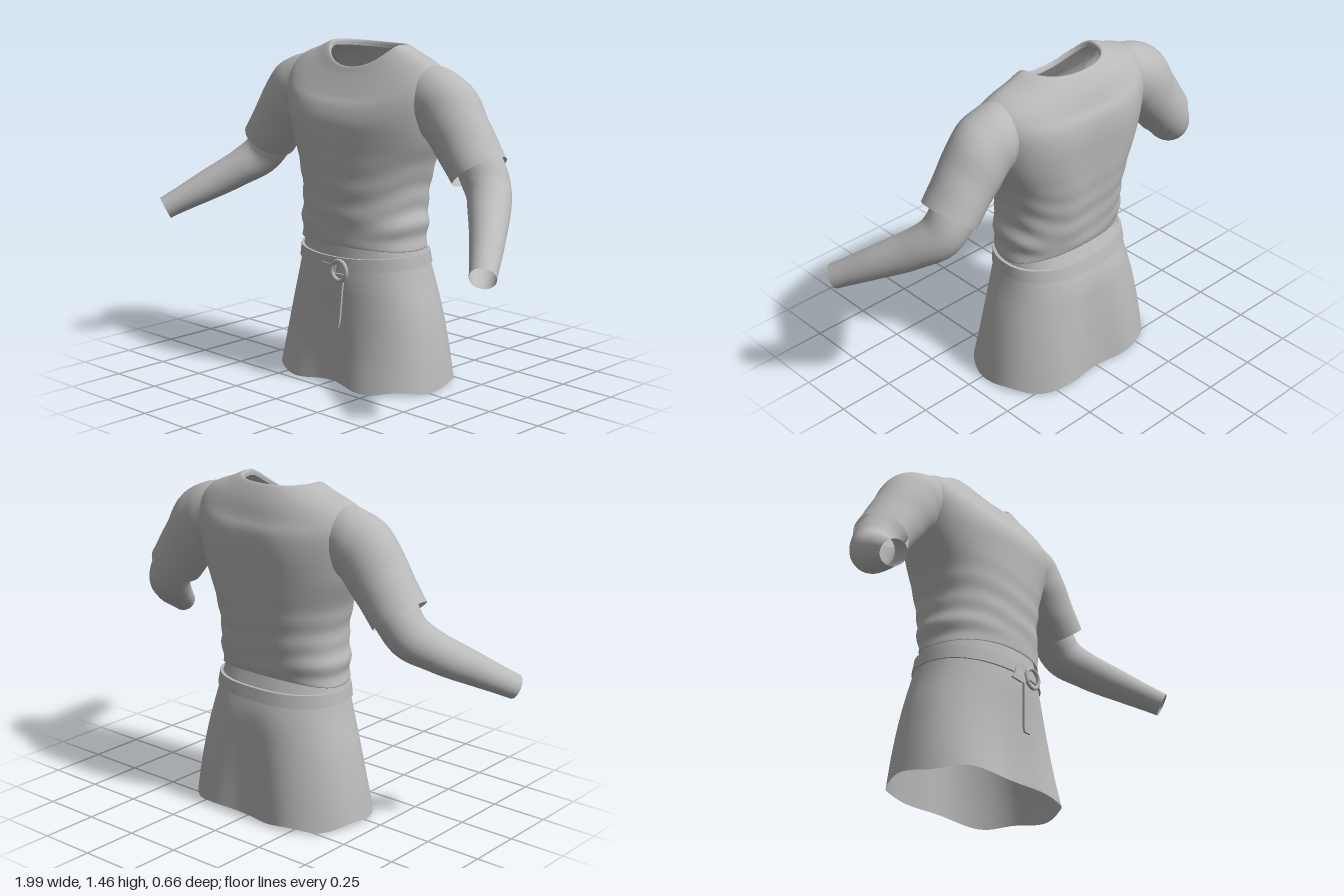
import * as THREE from 'three';

const cloth = new THREE.MeshStandardMaterial({ color: 0xbababa, side: THREE.DoubleSide });
cloth.name = 'grey cloth';

// Builds a smooth skin through rows x cols points; the columns close into a loop
function skin(rows, cols, point) {
  const pos = [], index = [];
  for (let i = 0; i <= rows; i++)
    for (let j = 0; j < cols; j++) pos.push(...point(i, (j / cols) * Math.PI * 2));
  for (let i = 0; i < rows; i++)
    for (let j = 0; j < cols; j++) {
      const k = (j + 1) % cols, a = i * cols + j, b = i * cols + k, c = a + cols, d = b + cols;
      index.push(a, b, c, b, d, c);
    }
  const g = new THREE.BufferGeometry();
  g.setAttribute('position', new THREE.Float32BufferAttribute(pos, 3));
  g.setIndex(index);
  g.computeVertexNormals();
  return g;
}

// Smooth interpolation of a table of rows at fractional row t
function sample(table, t) {
  const n = table.length - 1, i = Math.min(Math.floor(t), n - 1), u = t - i;
  return table[i].map((p1, k) => {
    const p0 = table[Math.max(i - 1, 0)][k], p2 = table[i + 1][k], p3 = table[Math.min(i + 2, n)][k];
    const m1 = (p2 - p0) / 2, m2 = (p3 - p1) / 2;
    return p1 + u * (m1 + u * (3 * (p2 - p1) - 2 * m1 - m2 + u * (2 * (p1 - p2) + m1 + m2)));
  });
}

const pw = (v, e) => Math.sign(v) * Math.abs(v) ** e;
const bump = (d, width) => Math.exp(-((d / width) ** 2));
const MID = -0.05;

// Body cross-section: row = [y, half width, front z, back z, front dip, back dip, front fold, back fold]
function bodyPoint([y, w, f, b, dipF, dipB, foldF, foldB], a) {
  const c = Math.cos(a), s = Math.sin(a);
  const x = w * pw(s, 0.9);
  let z = MID + (c > 0 ? f - MID : MID - b) * pw(c, 0.9);
  z += c > 0 ? -foldF * bump(s, 0.32) : foldB * bump(s, 0.3);
  return [x, y + (c > 0 ? dipF : dipB) * Math.abs(c) ** 1.6, z];
}

const skirtRows = [
  [0.012, 0.423, 0.25, -0.355, 0, 0, 0.055, 0.06],
  [0.16, 0.4, 0.215, -0.338, 0, 0, 0.03, 0.045],
  [0.32, 0.366, 0.192, -0.315, 0, 0, 0.01, 0.025],
  [0.48, 0.32, 0.183, -0.285, 0, 0, 0, 0.008],
  [0.64, 0.285, 0.165, -0.22, 0, 0, 0, 0],
];
const skirtPoint = (y, a) => bodyPoint(sample(skirtRows, THREE.MathUtils.clamp(y / 0.16, 0, 4)), a);

const shirtRows = [
  [0.64, 0.285, 0.165, -0.215, 0, 0, 0, 0],
  [0.602, 0.306, 0.18, -0.228, 0.018, 0.035, 0, 0],
  [0.65, 0.3, 0.18, -0.238, 0.01, 0.015, 0, 0],
  [0.71, 0.308, 0.183, -0.25, 0, 0, 0, 0.008],
  [0.78, 0.294, 0.183, -0.262, 0, 0, 0, 0.015],
  [0.88, 0.304, 0.186, -0.278, 0, 0, 0, 0.02],
  [0.98, 0.332, 0.188, -0.292, 0, 0, 0, 0.025],
  [1.08, 0.375, 0.189, -0.3, 0, 0, 0, 0.025],
  [1.19, 0.405, 0.186, -0.304, -0.04, 0, 0, 0.02],
  [1.29, 0.42, 0.164, -0.292, -0.08, -0.02, 0, 0.012],
  [1.36, 0.405, 0.135, -0.266, -0.11, -0.04, 0, 0.006],
  [1.403, 0.35, 0.103, -0.24, -0.105, -0.025, 0, 0],
  [1.435, 0.265, 0.077, -0.215, -0.095, -0.01, 0, 0],
  [1.465, 0.19, 0.06, -0.19, -0.095, -0.01, 0, 0],
  [1.44, 0.182, 0.05, -0.18, -0.09, -0.01, 0, 0],
];

// Tube along rings of [x, y, z, radius across, radius in z]; side -1 mirrors it
function limb(rings, side) {
  const curve = new THREE.CatmullRomCurve3(rings.map(r => new THREE.Vector3(r[0], r[1], r[2])));
  const rows = (rings.length - 1) * 6;
  return skin(rows, 40, (i, ang) => {
    const t = i / rows, a = ang * side;
    const c = curve.getPoint(t), dir = curve.getTangent(t);
    const u = new THREE.Vector3(0, 0, 1).addScaledVector(dir, -dir.z).normalize();
    const v = new THREE.Vector3().crossVectors(dir, u);
    const r = sample(rings, t * (rings.length - 1));
    const wrinkle = 1 + 0.012 * Math.sin(t * 22 + 2 * a) * Math.sin(t * Math.PI);
    c.addScaledVector(u, r[4] * wrinkle * Math.cos(a)).addScaledVector(v, r[3] * wrinkle * Math.sin(a));
    return [c.x * side, c.y, c.z];
  });
}

const upperSleeve = [
  [0.24, 1.265, -0.07, 0.125, 0.11],
  [0.36, 1.258, -0.067, 0.136, 0.125],
  [0.44, 1.215, -0.066, 0.145, 0.132],
  [0.53, 1.105, -0.064, 0.13, 0.13],
  [0.625, 0.98, -0.062, 0.118, 0.13],
];
const lowerSleeve = [
  [0.57, 1.06, -0.075, 0.098, 0.1],
  [0.62, 0.985, -0.08, 0.098, 0.1],
  [0.675, 0.905, -0.06, 0.093, 0.096],
  [0.745, 0.835, 0.02, 0.083, 0.085],
  [0.85, 0.745, 0.16, 0.068, 0.07],
  [0.95, 0.657, 0.302, 0.052, 0.055],
];

// Drapes a flat geometry over the front of the skirt
function drape(g, lift) {
  const p = g.attributes.position;
  for (let i = 0; i < p.count; i++) {
    const y = p.getY(i), w = sample(skirtRows, y / 0.16)[1];
    const a = Math.asin(pw(p.getX(i) / w, 1 / 0.9));
    p.setZ(i, p.getZ(i) + skirtPoint(y, a)[2] + lift);
  }
  g.computeVertexNormals();
  return g;
}

export function createModel() {
  const model = new THREE.Group();
  const add = (name, g) => {
    const m = new THREE.Mesh(g, cloth);
    m.name = name;
    model.add(m);
    return m;
  };

  // Shirt body with soft creases around the waist
  const n = (shirtRows.length - 1) * 5;
  add('shirtBody', skin(n, 96, (i, a) => {
    const p = bodyPoint(sample(shirtRows, i / 5), a);
    const amount = 0.012 * bump(p[1] - 0.79, 0.16);
    const k = 1 + amount * Math.sin(p[1] * 58 + 1.5 * Math.cos(a * 2) + Math.sin(a * 3));
    return [p[0] * k, p[1], MID + (p[2] - MID) * k];
  }));

  // Skirt with a gently waving hem
  add('skirt', skin(32, 96, (i, a) => {
    const p = skirtPoint(i * 0.02, a);
    p[1] += 0.009 * Math.sin(a * 7 + 1) * (1 - i / 32) ** 4;
    return p;
  }));

  // Sleeves on both sides
  for (const side of [1, -1]) {
    const tag = side > 0 ? 'left' : 'right';
    add(tag + 'UpperSleeve', limb(upperSleeve, side));
    add(tag + 'LowerSleeve', limb(lowerSleeve, side));
  }

  // Belt: doubled rows keep its edges crisp
  const band = [[0, 0], [0, 1], [0, 1], [1, 1], [1, 1], [1, 0]];
  add('belt', skin(5, 96, (i, a) => {
    const [top, out] = band[i];
    const c = Math.cos(a);
    const y = 0.528 + top * 0.055 - 0.014 * Math.max(c, 0) ** 2;
    const p = skirtPoint(y, a), q = skirtPoint(0.528, a);
    const mix = 0.5, grow = out ? 0.01 : -0.004;
    return [
      p[0] * (1 - mix) + q[0] * mix + grow * Math.sin(a), y,
      p[2] * (1 - mix) + q[2] * mix + grow * c,
    ];
  }));

  // Ring buckle
  const buckle = add('buckleRing', new THREE.TorusGeometry(0.043, 0.009, 12, 40));
  buckle.position.set(0.075, 0.517, 0.196);

  // Hanging belt end, flaring towards a blunt point
  const tail = new THREE.BoxGeometry(1, 1, 0.01, 4, 12, 1);
  const tp = tail.attributes.position;
  for (let i = 0; i < tp.count; i++) {
    const u = tp.getX(i), t = 0.5 - tp.getY(i);
    const width = t > 0.95 ? 0.036 : 0.07 - 0.022 * t;
    tp.setXY(i, 0.044 + 0.012 * (1 - t) + u * width, 0.5 - 0.24 * t);
  }
  add('beltTail', drape(tail, 0.005));

  // Folded flap passing behind the ring
  const flap = new THREE.Shape([[-0.062, 0.482], [0, 0.475], [0.04, 0.495], [0.05, 0.535], [-0.03, 0.54], [-0.045, 0.505]]
    .map(([x, y]) => new THREE.Vector2(x, y)));
  add('beltFlap', drape(new THREE.ExtrudeGeometry(flap, { depth: 0.01, bevelEnabled: false }), 0.006));

  return model;
}
